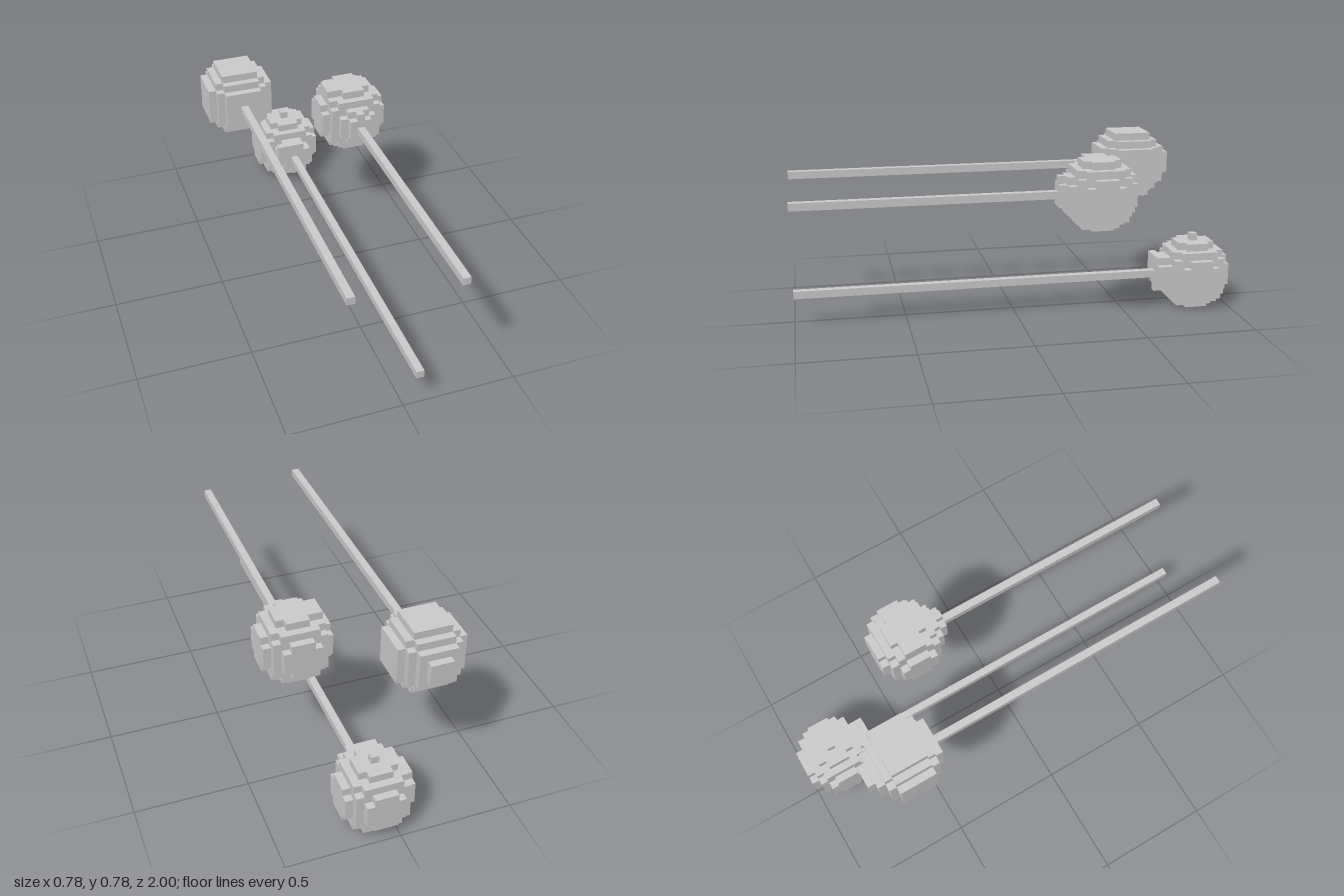
import * as THREE from 'three';

const V = 2 / 59; // edge length of one cube; the whole model is 23 x 23 x 59 cubes
const material = new THREE.MeshStandardMaterial({ color: 0xcccccc, flatShading: true });

// Cell index to the centre of that cell
const place = (i, j, k) => [(i - 11) * V, (j + 0.5) * V, (k - 29) * V];

// Three stepped balls. Extra cells are runs [dx from, dx to, dy, dz from, dz to].
const balls = [
  {
    name: 'rightBall', centre: [4, 18, 11], r2: 24, stickFrom: 16,
    extra: [[-1, 1, -1, -5, -5], [-1, 1, 0, -5, -5], [-1, 1, 1, -5, -5]],
  },
  {
    name: 'leftBall', centre: [18, 17, 19], r2: 22.5, stickFrom: 25,
    extra: [[-1, 1, -1, 5, 5], [-1, 1, 0, 5, 5], [-1, 1, 1, 5, 5], [0, 0, 2, 5, 5], [-3, -3, 4, -1, 1]],
  },
  {
    name: 'lowerBall', centre: [13, 4, 4], r2: 22.5, stickFrom: 10,
    extra: [[0, 0, -2, 5, 5], [-1, 1, -1, 5, 5], [-2, 2, 0, 5, 5], [-2, 2, 1, 5, 5], [-2, 1, 2, 5, 5],
      [0, 0, 5, 0, 0]],
  },
];

// Set of filled cells: a sphere on the cube grid plus its extra runs
function fillCells({ r2, extra }) {
  const cells = new Map();
  const add = (x, y, z) => cells.set(`${x},${y},${z}`, [x, y, z]);
  for (let x = -4; x <= 4; x++)
    for (let y = -4; y <= 4; y++)
      for (let z = -4; z <= 4; z++)
        if (x * x + y * y + z * z <= r2) add(x, y, z);
  for (const [x0, x1, y, z0, z1] of extra)
    for (let x = x0; x <= x1; x++)
      for (let z = z0; z <= z1; z++) add(x, y, z);
  return cells;
}

// Outer skin of the filled cells: one square wherever the neighbour is empty
function skin(cells) {
  const positions = [];
  const normals = [];
  for (const cell of cells.values()) {
    for (let axis = 0; axis < 3; axis++) {
      for (const side of [-1, 1]) {
        const next = [...cell];
        next[axis] += side;
        if (cells.has(next.join())) continue;
        const u = (axis + 1) % 3;
        const w = (axis + 2) % 3;
        const corner = (a, b) => {
          const p = [...cell];
          p[axis] += side / 2;
          p[u] += a * side / 2;
          p[w] += b / 2;
          return p.map((c) => c * V);
        };
        const [a, b, c, d] = [corner(-1, -1), corner(1, -1), corner(1, 1), corner(-1, 1)];
        positions.push(...a, ...b, ...c, ...a, ...c, ...d);
        const normal = [0, 0, 0];
        normal[axis] = side;
        for (let n = 0; n < 6; n++) normals.push(...normal);
      }
    }
  }
  const geometry = new THREE.BufferGeometry();
  geometry.setAttribute('position', new THREE.Float32BufferAttribute(positions, 3));
  geometry.setAttribute('normal', new THREE.Float32BufferAttribute(normals, 3));
  return geometry;
}

export function createModel() {
  const model = new THREE.Group();
  model.name = 'ballsOnSticks';
  for (const spec of balls) {
    const [i, j, k] = spec.centre;

    // Ball
    const ball = new THREE.Mesh(skin(fillCells(spec)), material);
    ball.name = spec.name;
    ball.position.set(...place(i, j, k));
    model.add(ball);

    // Square stick running forward from the ball
    const length = 59 - spec.stickFrom;
    const stick = new THREE.Mesh(new THREE.BoxGeometry(V, V, length * V), material);
    stick.name = spec.name.replace('Ball', 'Stick');
    stick.position.set(...place(i, j, spec.stickFrom + (length - 1) / 2));
    model.add(stick);
  }
  return model;
}
